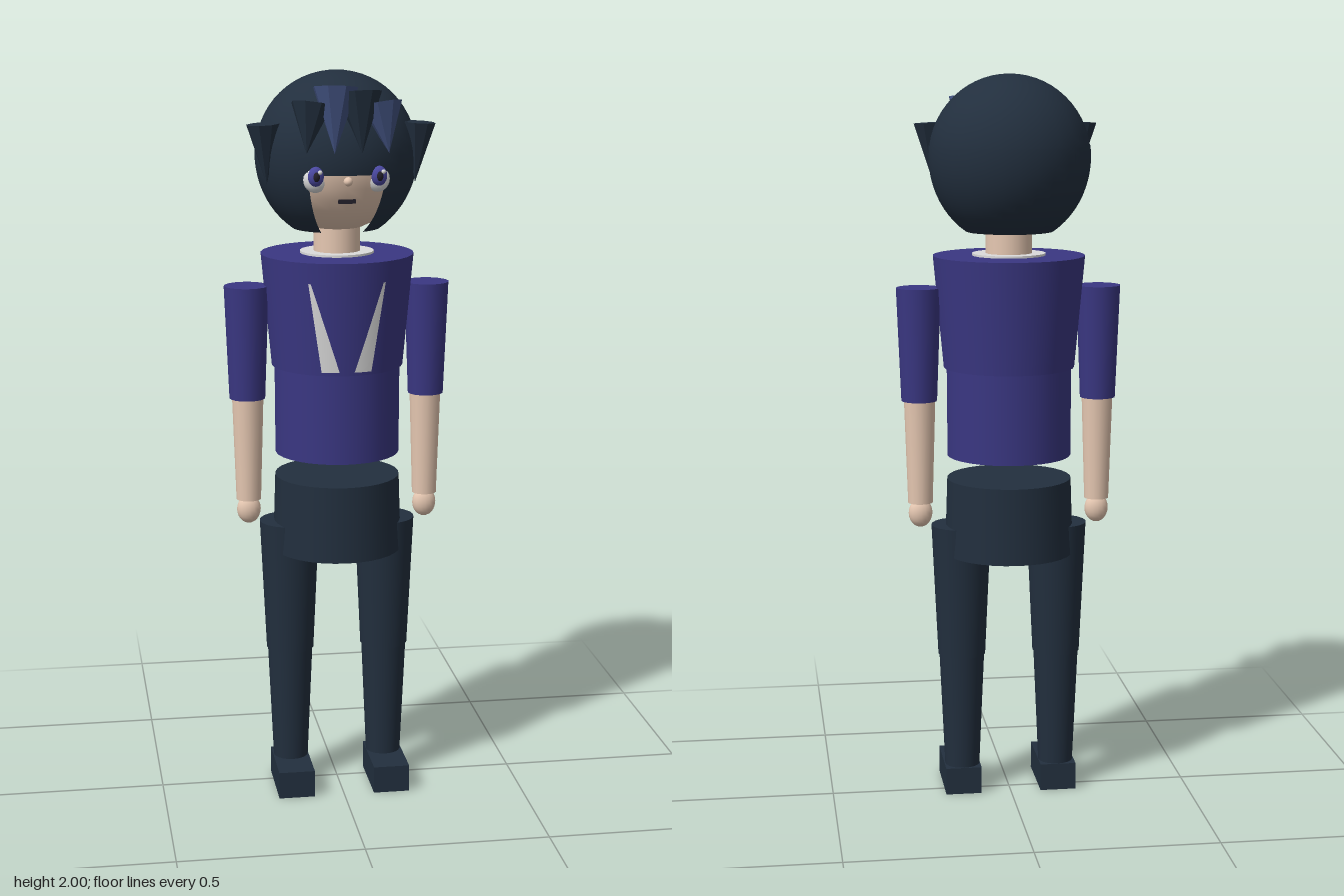
import * as THREE from 'three';

const material = (name, color, side = THREE.FrontSide) => {
  const m = new THREE.MeshStandardMaterial({ color, side });
  m.name = name;
  return m;
};

export function createModel() {
  const model = new THREE.Group();
  model.name = 'figure';
  const skin = material('skin', 0xe6c8b2);
  const purple = material('purple cloth', 0x3a3782);
  const dark = material('dark hair and trousers', 0x222f3e, THREE.DoubleSide);
  const blue = material('blue hair streak', 0x425280);
  const white = material('white', 0xdcdcdc, THREE.DoubleSide);
  const iris = material('iris violet', 0x4a48a0);
  const black = material('mouth and pupil', 0x23202a);

  const add = (name, geometry, mat, x = 0, y = 0, z = 0) => {
    const mesh = new THREE.Mesh(geometry, mat);
    mesh.name = name;
    mesh.position.set(x, y, z);
    model.add(mesh);
    return mesh;
  };
  // Round column between two heights
  const column = (name, mat, x, y0, y1, r0, r1, sides = 24) =>
    add(name, new THREE.CylinderGeometry(r1, r0, y1 - y0, sides), mat, x, (y0 + y1) / 2, 0);
  const ball = (name, mat, x, y, z, rx, ry, rz) => {
    const mesh = add(name, new THREE.SphereGeometry(1, 16, 12), mat, x, y, z);
    mesh.scale.set(rx, ry, rz);
    return mesh;
  };
  // Hair tuft: an eight-sided cone from a broad base to its tip
  const tuft = (name, mat, base, tip, r) => {
    const a = new THREE.Vector3(...base), b = new THREE.Vector3(...tip);
    const dir = b.clone().sub(a);
    const geometry = new THREE.ConeGeometry(r, dir.length(), 8).toNonIndexed();
    geometry.computeVertexNormals();
    const mid = a.add(b).multiplyScalar(0.5);
    const mesh = add(name, geometry, mat, mid.x, mid.y, mid.z);
    mesh.quaternion.setFromUnitVectors(new THREE.Vector3(0, 1, 0), dir.normalize());
  };

  // Torso, collar, neck and hips
  column('chest', purple, 0, 1.21, 1.515, 0.179, 0.207, 32);
  column('waist', purple, 0, 0.965, 1.21, 0.17, 0.171, 32);
  column('collar', white, 0, 1.508, 1.521, 0.1, 0.1);
  column('neck', skin, 0, 1.5, 1.64, 0.063, 0.063);
  column('hips', dark, 0, 0.69, 0.9, 0.178, 0.171, 32);

  // Head
  add('head', new THREE.SphereGeometry(0.2, 24, 18), skin, 0, 1.775, 0);

  // Hair cap, and lower hair left open around the face
  add('hairCap', new THREE.SphereGeometry(0.218, 24, 16, 0, Math.PI * 2, 0, 1.75), dark, 0, 1.782, -0.015);
  const gap = 0.49;
  const lower = add('lowerHair', new THREE.SphereGeometry(0.219, 24, 12,
    Math.PI / 2 + gap, Math.PI * 2 - gap * 2, 1.45, 1.12), dark, 0, 1.782, -0.015);
  lower.scale.y = 1.09;

  // Fringe of alternating tufts
  const fringe = [
    [-0.09, 1.925, 0.165, 0.056], [-0.03, 1.968, 0.175, 0.061],
    [0.03, 1.955, 0.175, 0.061], [0.09, 1.925, 0.165, 0.056],
  ];
  fringe.forEach(([x, y, z, r], i) =>
    tuft('fringeTuft', i % 2 ? blue : dark, [x, y, z], [x * 1.2, 1.8, z + 0.025], r));

  for (const s of [1, -1]) {
    // Side tufts
    tuft('sideTuft', dark, [s * 0.207, 1.868, 0.078], [s * 0.198, 1.71, 0.076], 0.045);

    // Eyes
    ball('eyeWhite', white, s * 0.082, 1.731, 0.168, 0.032, 0.034, 0.02);
    ball('iris', iris, s * 0.083, 1.741, 0.185, 0.021, 0.026, 0.016);
    ball('pupil', black, s * 0.083, 1.741, 0.194, 0.01, 0.014, 0.011);
    ball('eyeGlint', white, s * 0.083 + 0.009, 1.753, 0.199, 0.006, 0.006, 0.005);

    // Arms
    column('upperArm', purple, s * 0.247, 1.12, 1.43, 0.049, 0.061, 16);
    column('forearm', skin, s * 0.246, 0.835, 1.12, 0.034, 0.043, 16);
    ball('hand', skin, s * 0.246, 0.806, 0, 0.033, 0.04, 0.026);

    // Legs and shoes
    column('thigh', dark, s * 0.133, 0.4, 0.77, 0.066, 0.083, 20);
    column('shin', dark, s * 0.133, 0.06, 0.4, 0.048, 0.063, 20);
    add('shoe', new THREE.BoxGeometry(0.1, 0.076, 0.195), dark, s * 0.134, 0.038, 0.046);

    // Lapel: a tapering strip laid on the curved chest
    const lapel = new THREE.PlaneGeometry(1, 1, 4, 6);
    const p = lapel.attributes.position;
    for (let i = 0; i < p.count; i++) {
      const t = 0.5 - p.getY(i), u = p.getX(i) + 0.5;
      const outer = 0.103 - 0.036 * t, inner = 0.097 - 0.077 * t;
      const x = outer + (inner - outer) * u;
      const y = 1.46 - 0.24 * t;
      const r = 0.183 + 0.028 * (y - 1.21) / 0.305;
      p.setXYZ(i, s * x, y, Math.sqrt(r * r - x * x));
    }
    lapel.computeVertexNormals();
    add('lapel', lapel, white);
  }

  // Nose and mouth
  ball('nose', skin, 0, 1.728, 0.195, 0.012, 0.012, 0.014);
  add('mouth', new THREE.BoxGeometry(0.045, 0.011, 0.009), black, 0, 1.674, 0.174);

  return model;
}
